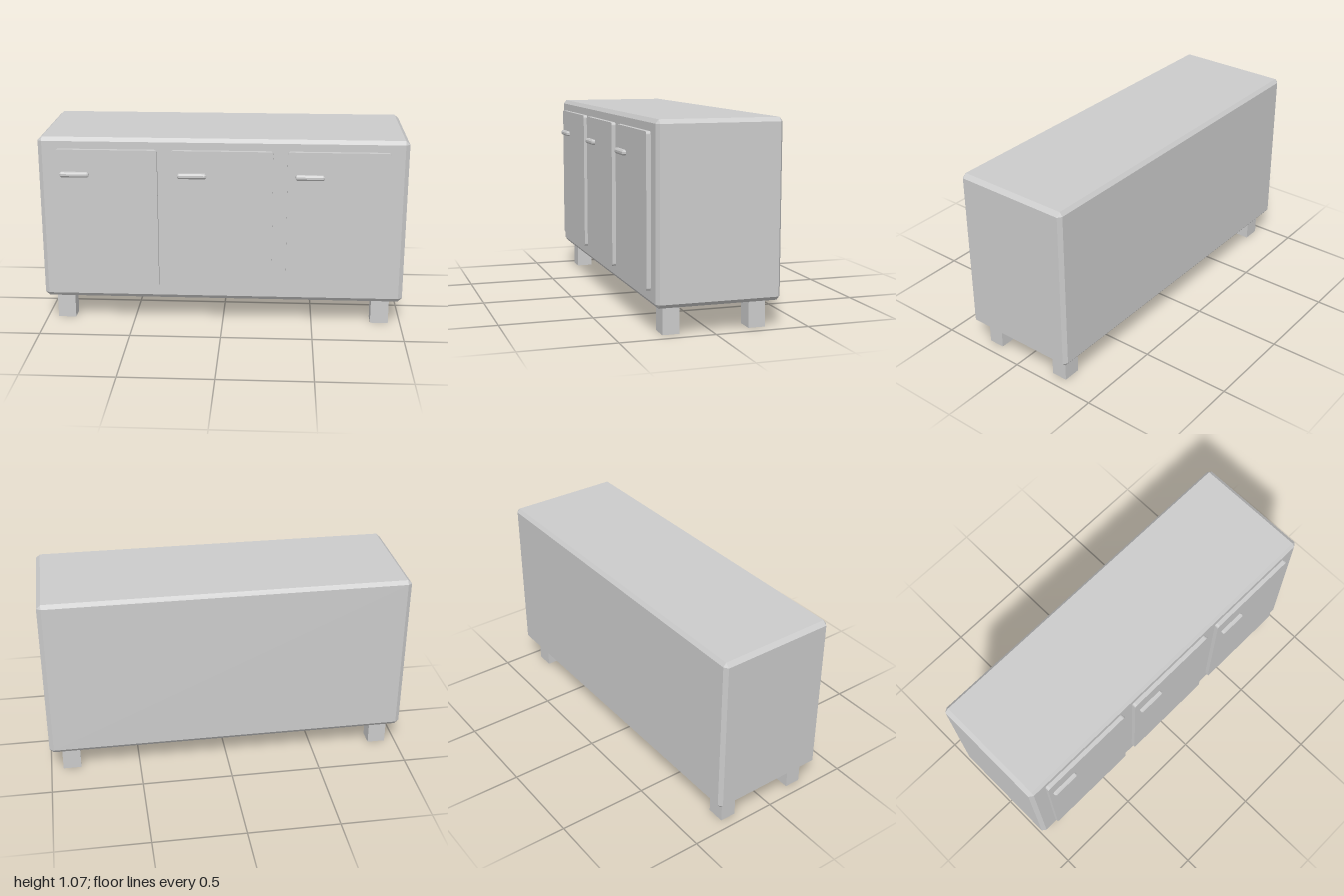
import * as THREE from 'three';
import { ConvexGeometry } from 'three/addons/geometries/ConvexGeometry.js';

const material = new THREE.MeshStandardMaterial({ color: 0xcccccc, flatShading: true });

// Box with every edge cut by a flat chamfer; cx, cy, cz are the cuts along each axis
function chamferBox(w, h, d, cx, cy, cz) {
  const points = [];
  for (const sx of [-1, 1]) for (const sy of [-1, 1]) for (const sz of [-1, 1]) {
    const x = w / 2, y = h / 2, z = d / 2;
    points.push(
      new THREE.Vector3(sx * x, sy * (y - cy), sz * (z - cz)),
      new THREE.Vector3(sx * (x - cx), sy * y, sz * (z - cz)),
      new THREE.Vector3(sx * (x - cx), sy * (y - cy), sz * z)
    );
  }
  return new ConvexGeometry(points);
}

// Flat panel with small rounded corners, centred in x and y, starting at z = 0
function panel(w, h, depth, r) {
  const x = w / 2, y = h / 2;
  const shape = new THREE.Shape();
  shape.moveTo(-x + r, -y);
  shape.absarc(x - r, -y + r, r, -Math.PI / 2, 0);
  shape.absarc(x - r, y - r, r, 0, Math.PI / 2);
  shape.absarc(-x + r, y - r, r, Math.PI / 2, Math.PI);
  shape.absarc(-x + r, -y + r, r, Math.PI, Math.PI * 1.5);
  return new THREE.ExtrudeGeometry(shape, { depth, bevelEnabled: false, curveSegments: 3 });
}

export function createModel() {
  const model = new THREE.Group();
  model.name = 'sideboard';

  const add = (name, geometry, x, y, z) => {
    const mesh = new THREE.Mesh(geometry, material);
    mesh.name = name;
    mesh.position.set(x, y, z);
    model.add(mesh);
  };

  // Cabinet body
  add('cabinet', chamferBox(2, 0.921, 0.657, 0.023, 0.021, 0.016), 0, 0.6075, -0.0195);

  // Three doors, each with a bar handle near its upper right corner
  const doorGeometry = panel(0.551, 0.786, 0.03, 0.016);
  const handleGeometry = chamferBox(0.159, 0.029, 0.03, 0.009, 0.009, 0.007);
  const doors = [
    ['right', -0.627, -0.8],
    ['middle', -0.002, -0.163],
    ['left', 0.627, 0.472],
  ];
  for (const [side, doorX, handleX] of doors) {
    add(`${side}Door`, doorGeometry, doorX, 0.613, 0.302);
    add(`${side}Handle`, handleGeometry, handleX, 0.869, 0.337);
  }

  // Four square legs
  const legGeometry = new THREE.BoxGeometry(0.1, 0.16, 0.09);
  for (const [side, x] of [['right', -0.891], ['left', 0.883]]) {
    add(`${side}FrontLeg`, legGeometry, x, 0.08, 0.214);
    add(`${side}BackLeg`, legGeometry, x, 0.08, -0.244);
  }

  return model;
}
